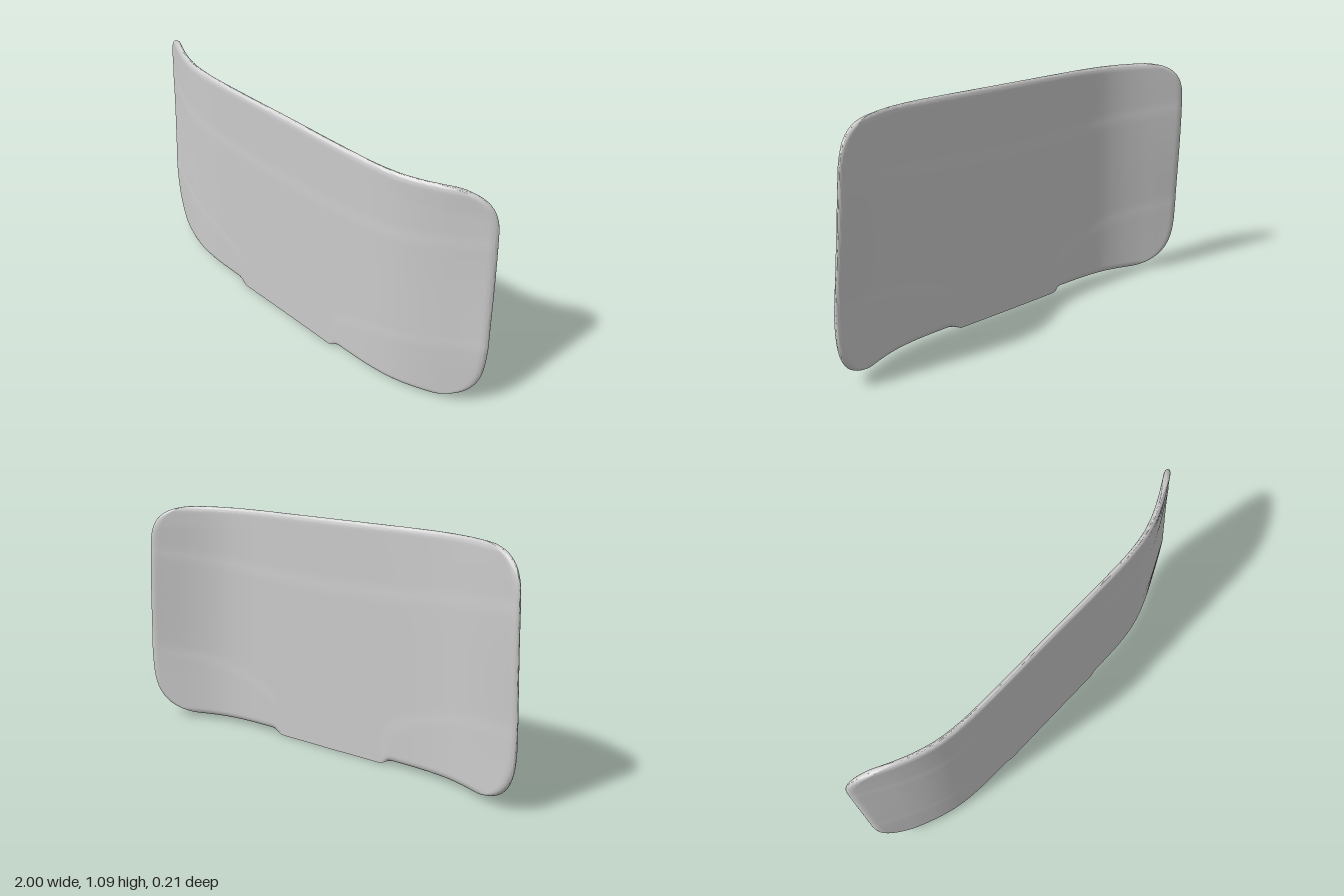
import * as THREE from 'three';
import { toCreasedNormals } from 'three/addons/utils/BufferGeometryUtils.js';

const ROWS = 72, COLS = 140;
const BOTTOM = 0.02, TOP = 1.09;
const THICK = 0.034, RIM = 0.03;
const { smoothstep, clamp } = THREE.MathUtils;

// bend of the panel's middle layer, as [distance from centre, z]
const BEND = [[0, 0.087], [0.45, 0.086], [0.6, 0.073], [0.7, 0.048], [0.8, 0.008], [0.9, -0.042], [1, -0.095], [1.1, -0.15]];

function bend(x) {
  let i = 0;
  while (i < BEND.length - 2 && x > BEND[i + 1][0]) i++;
  const slope = (k) => {
    if (k === 0) return 0;
    const a = BEND[k - 1], b = BEND[Math.min(k + 1, BEND.length - 1)];
    return (b[1] - a[1]) / (b[0] - a[0]);
  };
  // cubic Hermite between neighbouring points
  const [x0, z0] = BEND[i], [x1, z1] = BEND[i + 1];
  const h = x1 - x0, t = (x - x0) / h, t2 = t * t, t3 = t2 * t;
  return (2 * t3 - 3 * t2 + 1) * z0 + (t3 - 2 * t2 + t) * h * slope(i)
    + (3 * t2 - 2 * t3) * z1 + (t3 - t2) * h * slope(i + 1);
}

// straight side edge; the model's left side leans in further than its right
function sideEdge(y, side) {
  const lean = side > 0 ? 0.048 : 0.017;
  return 0.998 - lean * clamp((y - 0.35) / 0.58, 0, 1.1);
}

// how far a rounded corner cuts into a row at the given distance from the end
function cornerCut(distance, height, width) {
  const s = clamp(1 - distance / height, 0, 1);
  return width * (1 - Math.cbrt(1 - s ** 3));
}

function outline(y, side) {
  return side * (sideEdge(y, side) - cornerCut(y - BOTTOM, 0.3, 0.3) - cornerCut(TOP - y, 0.2, 0.25));
}

function middleZ(x, y) {
  const reach = Math.abs(x) / sideEdge(y, Math.sign(x) || 1);
  return bend(reach) + 0.02 * reach ** 4 * (1 - smoothstep(y, 0.2, 0.85));
}

// shallow ledges: a thinner upper band and fuller lower wings
function ledges(x, y) {
  const ax = Math.abs(x);
  const upper = 0.79 + 0.09 * ax * ax;
  const lower = 0.12 + 0.25 * Math.max(0, (ax - 0.3) / 0.7) ** 0.45;
  const band = smoothstep(y, upper - 0.03, upper + 0.03);
  const wing = smoothstep(lower - y, -0.03, 0.03) * smoothstep(ax, 0.27, 0.34);
  return -0.005 * band + 0.004 * wing;
}

function panelGeometry() {
  const positions = [], index = [];
  const ease = (t) => (1 - Math.cos(Math.PI * t)) / 2;
  const loop = 2 * (COLS + 1);

  // one closed cross-section per row: front face left to right, then back face
  for (let r = 0; r <= ROWS; r++) {
    const y = BOTTOM + (TOP - BOTTOM) * ease(r / ROWS);
    const x0 = outline(y, -1), x1 = outline(y, 1);
    for (let k = 0; k < loop; k++) {
      const front = k <= COLS;
      const u = ease((front ? k : loop - 1 - k) / COLS);
      const x = x0 + (x1 - x0) * u;
      const tab = 1 - smoothstep(Math.abs(x), 0.28, 0.33);

      // rounded rim, left square along the bottom tab
      const d = Math.min(x - x0, x1 - x, TOP - y, y - BOTTOM + tab * RIM);
      const q = 1 - clamp(d / RIM, 0, 1);
      const half = (THICK + ledges(x, y)) / 2 * Math.max(0.12, Math.sqrt(1 - q * q));

      const e = 0.01;
      const slope = (middleZ(x + e, y) - middleZ(x - e, y)) / (2 * e);
      const n = (front ? half : -half) / Math.hypot(1, slope);
      const drop = BOTTOM * tab * (1 - smoothstep(y, BOTTOM, 0.25));
      positions.push(x - slope * n, y - drop, middleZ(x, y) + n);
    }
  }

  for (let r = 0; r < ROWS; r++) {
    for (let k = 0; k < loop; k++) {
      const a = r * loop + k, b = r * loop + (k + 1) % loop;
      index.push(a, b, a + loop, b, b + loop, a + loop);
    }
  }

  // close the bottom and top edges
  for (let k = 0; k < COLS; k++) {
    const f0 = k, f1 = k + 1, b0 = loop - 1 - k, b1 = loop - 2 - k, t = ROWS * loop;
    index.push(f0, b0, f1, f1, b0, b1);
    index.push(t + f0, t + f1, t + b0, t + f1, t + b1, t + b0);
  }

  const geometry = new THREE.BufferGeometry();
  geometry.setAttribute('position', new THREE.Float32BufferAttribute(positions, 3));
  geometry.setIndex(index);
  return toCreasedNormals(geometry, 0.9);
}

export function createModel() {
  const model = new THREE.Group();
  model.name = 'curvedPanel';
  const panel = new THREE.Mesh(panelGeometry(), new THREE.MeshStandardMaterial({ color: 0xcccccc }));
  panel.name = 'panelShell';
  model.add(panel);
  return model;
}
